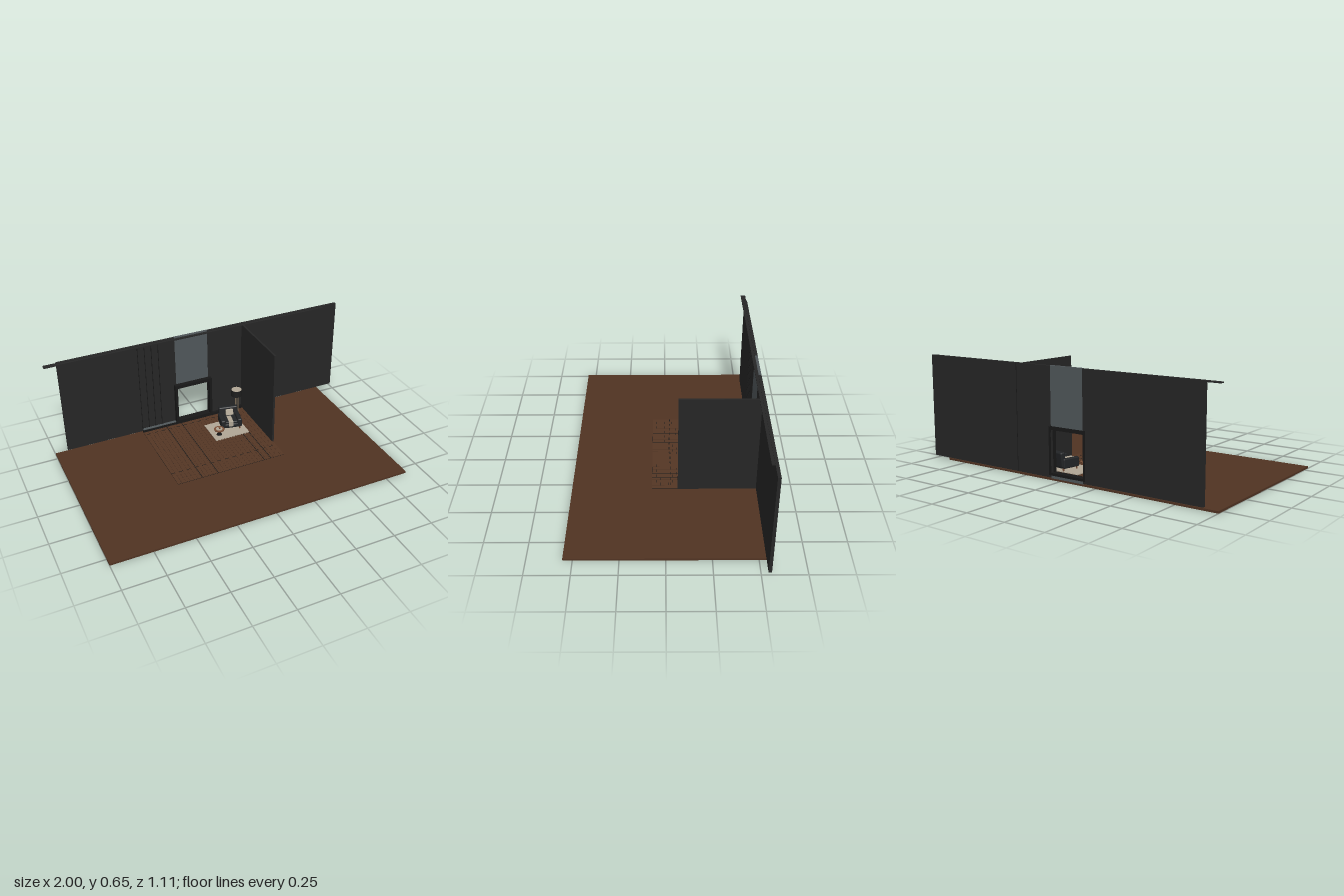
import * as THREE from 'three';
import { mergeGeometries } from 'three/addons/utils/BufferGeometryUtils.js';
import { RoundedBoxGeometry } from 'three/addons/geometries/RoundedBoxGeometry.js';

const mat = (name, color, side = THREE.FrontSide) => {
  const m = new THREE.MeshStandardMaterial({ color, side });
  m.name = name;
  return m;
};

export function createModel() {
  const wallPaint = mat('charcoal wall', 0x262626);
  const trim = mat('black trim', 0x181818);
  const wood = mat('brown floor', 0x503322);
  const plank = mat('plank brown', 0x543624);
  const glass = mat('grey panel', 0x50575a);
  const cream = mat('cream fabric', 0xb0a695, THREE.DoubleSide);
  const leather = mat('dark upholstery', 0x222426);
  const brass = mat('tan metal', 0x81705a);
  const tableWood = mat('table wood', 0x7c5138);
  const shadeBlack = mat('lamp shade black', 0x1c1c1c, THREE.DoubleSide);

  const model = new THREE.Group();
  model.name = 'room';
  const add = (name, geo, material, parent = model, x = 0, y = 0, z = 0) => {
    const m = new THREE.Mesh(geo, material);
    m.name = name;
    m.position.set(x, y, z);
    parent.add(m);
    return m;
  };
  // Box given by its limits on each axis
  const boxGeo = (x0, x1, y0, y1, z0, z1) =>
    new THREE.BoxGeometry(x1 - x0, y1 - y0, z1 - z0)
      .translate((x0 + x1) / 2, (y0 + y1) / 2, (z0 + z1) / 2);
  const box = (name, material, ...limits) => add(name, boxGeo(...limits), material);

  // Floor slab
  box('floor', wood, -1, 0.89, 0, 0.012, -0.545, 0.553);

  // Back wall around the window bay, with cornice and cross partition
  box('wallRight', wallPaint, -0.92, -0.172, 0.018, 0.648, -0.555, -0.537);
  box('wallLeft', wallPaint, 0.052, 1, 0.018, 0.648, -0.555, -0.537);
  box('wallSeam', trim, 0.3, 0.304, 0.018, 0.648, -0.5555, -0.55);
  box('upperPanel', glass, -0.172, 0.052, 0.3, 0.65, -0.554, -0.538);
  box('lowerPanel', glass, -0.172, 0.052, 0.014, 0.04, -0.554, -0.538);
  box('cornice', wallPaint, -1, 0.89, 0.639, 0.645, -0.55, -0.52);
  box('partition', wallPaint, 0.293, 0.305, 0.013, 0.643, -0.537, -0.073);

  // Window frame
  box('frameTop', trim, -0.188, 0.068, 0.29, 0.312, -0.555, -0.511);
  box('frameBottom', trim, -0.188, 0.068, 0.03, 0.045, -0.555, -0.511);
  for (const [x0, x1] of [[-0.188, -0.172], [0.052, 0.068]])
    box('frameSide', trim, x0, x1, 0.03, 0.31, -0.555, -0.511);

  // Skirting and slim wall battens
  box('skirting', trim, -0.42, 0.293, 0.012, 0.034, -0.537, -0.52);
  box('skirtingCap', glass, -0.42, -0.19, 0.034, 0.037, -0.537, -0.518);
  for (let i = 0; i < 4; i++)
    box('wallBatten', trim, -0.42 + i * 0.045, -0.417 + i * 0.045, 0.035, 0.638, -0.537, -0.533);

  // Staggered plank inlay over a dark bed
  box('plankBed', trim, -0.42, 0.3, 0.012, 0.0135, -0.52, 0.08);
  const planks = [];
  const cols = 28, pitchX = 0.72 / cols, length = 0.05;
  for (let i = 0; i < cols; i++) {
    const x = -0.42 + i * pitchX;
    for (let j = 0; j < 13; j++) {
      const z0 = Math.max(-0.52, -0.52 + (j - (i % 2) / 2) * length);
      const z1 = Math.min(0.08, -0.52 + (j + 1 - (i % 2) / 2) * length);
      if (z1 - z0 > 0.005)
        planks.push(boxGeo(x + 0.0006, x + pitchX - 0.0006, 0.0132, 0.0158, z0 + 0.0006, z1 - 0.0006));
    }
  }
  add('planks', mergeGeometries(planks), plank);
  for (const x of [-0.26, -0.155, 0.16, 0.205])
    box('longJoint', trim, x - 0.002, x + 0.002, 0.015, 0.0163, -0.52, 0.08);
  for (const [z, x0, x1] of [[-0.49, -0.41, 0.24], [-0.03, -0.42, 0.28]])
    for (let x = x0; x < x1; x += pitchX * 2)
      box('crossJoint', trim, x, x + pitchX, 0.015, 0.0163, z - 0.002, z + 0.002);

  // Rug with fringes
  box('rug', cream, -0.03, 0.207, 0.0158, 0.02, -0.422, -0.232);
  for (let i = 0; i < 12; i++)
    for (const z of [-0.427, -0.232])
      box('fringe', cream, -0.027 + i * 0.02, -0.019 + i * 0.02, 0.016, 0.018, z, z + 0.005);

  // Armchair with a cream throw and pillow
  const chair = new THREE.Group();
  chair.name = 'armchair';
  chair.position.set(0.125, 0.02, -0.36);
  chair.rotation.y = -0.2;
  model.add(chair);
  const soft = (name, w, h, d, x, y, z, material = leather) =>
    add(name, new RoundedBoxGeometry(w, h, d, 2, Math.min(w, h, d) * 0.25), material, chair, x, y, z);
  soft('seatBase', 0.09, 0.03, 0.11, 0, 0.028, 0.005);
  soft('seatCushion', 0.082, 0.02, 0.09, 0, 0.052, 0.016);
  soft('chairBack', 0.125, 0.09, 0.032, 0, 0.068, -0.048).rotation.x = -0.12;
  for (const s of [-1, 1]) {
    soft('armRest', 0.028, 0.058, 0.115, s * 0.055, 0.045, 0.006);
    for (const z of [-0.045, 0.055])
      add('chairLeg', new THREE.CylinderGeometry(0.005, 0.004, 0.016, 8), tableWood, chair, s * 0.055, 0.008, z);
  }
  soft('throw', 0.03, 0.004, 0.075, -0.004, 0.063, 0.028, cream);
  soft('throwDrop', 0.03, 0.036, 0.004, -0.004, 0.046, 0.063, cream);
  soft('pillow', 0.05, 0.04, 0.016, 0.004, 0.085, -0.022, cream).rotation.x = -0.3;

  // Floor lamp
  const lamp = new THREE.Group();
  lamp.name = 'floorLamp';
  lamp.position.set(0.213, 0.016, -0.44);
  model.add(lamp);
  add('lampBase', new THREE.CylinderGeometry(0.026, 0.028, 0.006, 24), trim, lamp, 0, 0.003, 0);
  for (const [x, z] of [[-0.009, 0.005], [0.009, 0.005], [0, -0.009]])
    add('lampRod', new THREE.CylinderGeometry(0.0028, 0.0028, 0.17, 8), brass, lamp, x, 0.09, z);
  add('lampShade', new THREE.CylinderGeometry(0.035, 0.038, 0.044, 32, 1, true), shadeBlack, lamp, 0, 0.19, 0);
  add('shadeDiffuser', new THREE.CylinderGeometry(0.033, 0.036, 0.041, 32), cream, lamp, 0, 0.19, 0);

  // Small round side table
  const table = new THREE.Group();
  table.name = 'sideTable';
  table.position.set(0.016, 0.02, -0.285);
  model.add(table);
  add('tableBase', new THREE.CylinderGeometry(0.016, 0.018, 0.004, 20), trim, table, 0, 0.002, 0);
  add('tableStem', new THREE.CylinderGeometry(0.005, 0.007, 0.036, 12), trim, table, 0, 0.02, 0);
  add('tableTop', new THREE.CylinderGeometry(0.034, 0.032, 0.007, 32), tableWood, table, 0, 0.04, 0);
  add('tray', new THREE.CylinderGeometry(0.021, 0.021, 0.002, 24), cream, table, 0, 0.0445, 0);
  add('cup', new THREE.CylinderGeometry(0.007, 0.005, 0.01, 12), tableWood, table, 0.002, 0.05, 0.002);

  return model;
}
